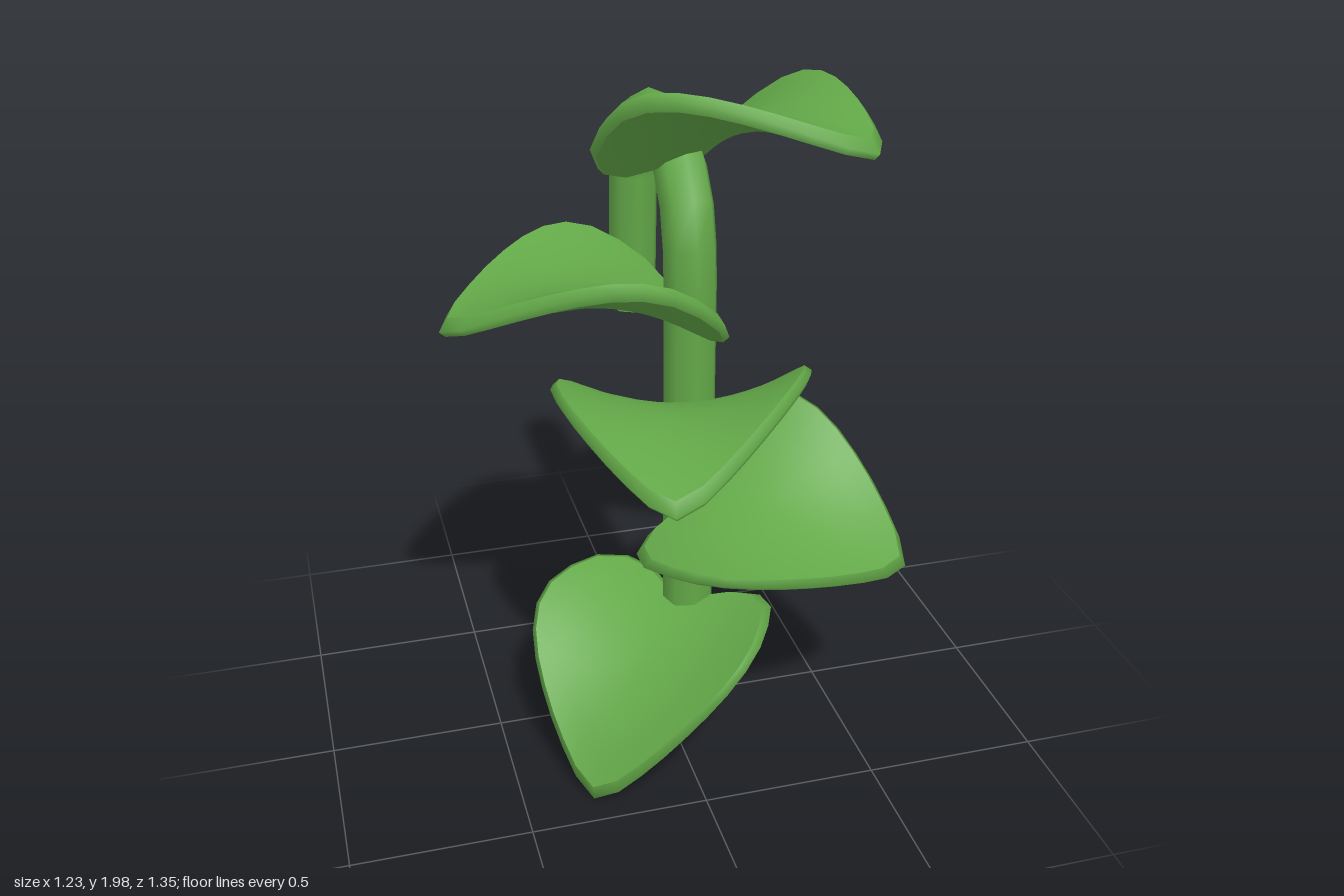
import * as THREE from 'three';
import { mergeGeometries, mergeVertices } from 'three/addons/utils/BufferGeometryUtils.js';

const LENGTH = 0.635;
const THICK = 0.048;

// Saddle surface: arched from notch to tip, sides curling upward
const height = (u, v) => 0.82 * u * (LENGTH - u) + 0.85 * v * v;

// Heart outline (u towards the tip, v sideways), notch at the origin
function heartOutline(count) {
  const half = [[-0.06, 0.1], [-0.09, 0.2], [-0.04, 0.295], [0.12, 0.35], [0.27, 0.32],
    [0.42, 0.23], [0.54, 0.13], [0.61, 0.055]];
  const points = [[0, 0], ...half, [LENGTH, 0], ...half.slice().reverse().map(([u, v]) => [u, -v])];
  const curve = new THREE.CatmullRomCurve3(
    points.map(([u, v]) => new THREE.Vector3(u, 0, v)), true, 'catmullrom', 0.5);
  return curve.getSpacedPoints(count).slice(0, count);
}

// Joins concentric rings, each given as [scale, vertical offset]
function ringLayer(outline, rings) {
  const n = outline.length;
  const centre = 0.22;
  const positions = [];
  const index = [];
  for (const [scale, offset] of rings) {
    for (const p of outline) {
      const u = centre + (p.x - centre) * scale;
      const v = p.z * scale;
      positions.push(u, height(u, v) + offset, v);
    }
  }
  for (let r = 0; r < rings.length - 1; r++) {
    for (let i = 0; i < n; i++) {
      const j = (i + 1) % n;
      const a = r * n;
      const b = a + n;
      if (rings[r][0] > 0) index.push(a + i, b + j, a + j);
      if (rings[r + 1][0] > 0) index.push(a + i, b + i, b + j);
    }
  }
  const geometry = new THREE.BufferGeometry();
  geometry.setAttribute('position', new THREE.Float32BufferAttribute(positions, 3));
  geometry.setIndex(index);
  const merged = mergeVertices(geometry);
  merged.computeVertexNormals();
  return merged;
}

// Top face, creased rim and underside
function leafGeometry() {
  const outline = heartOutline(28);
  const t = THICK / 2;
  const inset = 0.945;
  const steps = [0, 0.2, 0.4, 0.6, 0.8, 1];
  return mergeGeometries([
    ringLayer(outline, steps.map((s) => [s * inset, t])),
    ringLayer(outline, [[inset, t], [1, -t * 0.1], [0.96, -t]]),
    ringLayer(outline, steps.slice().reverse().map((s) => [s * 0.96, -t])),
  ]);
}

// Upright stem that hooks over backwards
function stemCurve(x) {
  const at = (y, z) => new THREE.Vector3(x, y, z);
  const bend = [at(1.45, 0.045), at(1.59, 0.02), at(1.695, -0.05), at(1.755, -0.15),
    at(1.779, -0.28), at(1.755, -0.41), at(1.69, -0.51), at(1.59, -0.572)];
  const path = new THREE.CurvePath();
  path.add(new THREE.LineCurve3(at(0.2, 0.045), bend[0]));
  path.add(new THREE.CatmullRomCurve3(bend));
  path.add(new THREE.LineCurve3(bend[bend.length - 1], at(1.1, -0.6)));
  return path;
}

export function createModel() {
  const model = new THREE.Group();
  model.name = 'vine';
  const green = new THREE.MeshStandardMaterial({ color: 0x63a848 });
  green.name = 'leaf green';

  const add = (geometry, name) => {
    const mesh = new THREE.Mesh(geometry, green);
    mesh.name = name;
    model.add(mesh);
    return mesh;
  };

  // Stem with pointed foot and flat hook end
  const stemX = 0.072;
  const radius = 0.075;
  add(new THREE.TubeGeometry(stemCurve(stemX), 24, radius, 8, false), 'stem');
  const foot = add(new THREE.ConeGeometry(radius, 0.05, 8, 1, true), 'stemTip');
  foot.position.set(stemX, 0.175, 0.045);
  foot.rotation.x = Math.PI;
  const cap = add(new THREE.CircleGeometry(radius, 8), 'hookEnd');
  cap.position.set(stemX, 1.1, -0.6);
  cap.rotation.x = Math.PI / 2;

  // Leaves from bottom to top: notch position, heading (x, z), pitch and roll in degrees
  const leaves = [
    { at: [0.05, 0.41, 0.05], heading: [-0.7, 0.71], pitch: -37, roll: 0 },
    { at: [0.07, 0.765, 0.075], heading: [0.86, 0.51], pitch: -11, roll: 25 },
    { at: [0.06, 1.045, 0.07], heading: [-0.32, 0.95], pitch: 2, roll: 5 },
    { at: [0.015, 1.335, 0.035], heading: [-1, 0.08], pitch: 3, roll: 5 },
    { at: [0.065, 1.745, -0.065], heading: [0.58, 0.81], pitch: 11, roll: -6 },
  ];
  const geometry = leafGeometry();
  leaves.forEach(({ at, heading, pitch, roll }, i) => {
    const leaf = add(geometry, `leaf${i + 1}`);
    leaf.position.set(...at);
    leaf.rotation.set(
      THREE.MathUtils.degToRad(roll),
      Math.atan2(-heading[1], heading[0]),
      THREE.MathUtils.degToRad(pitch),
      'YZX');
  });

  return model;
}
